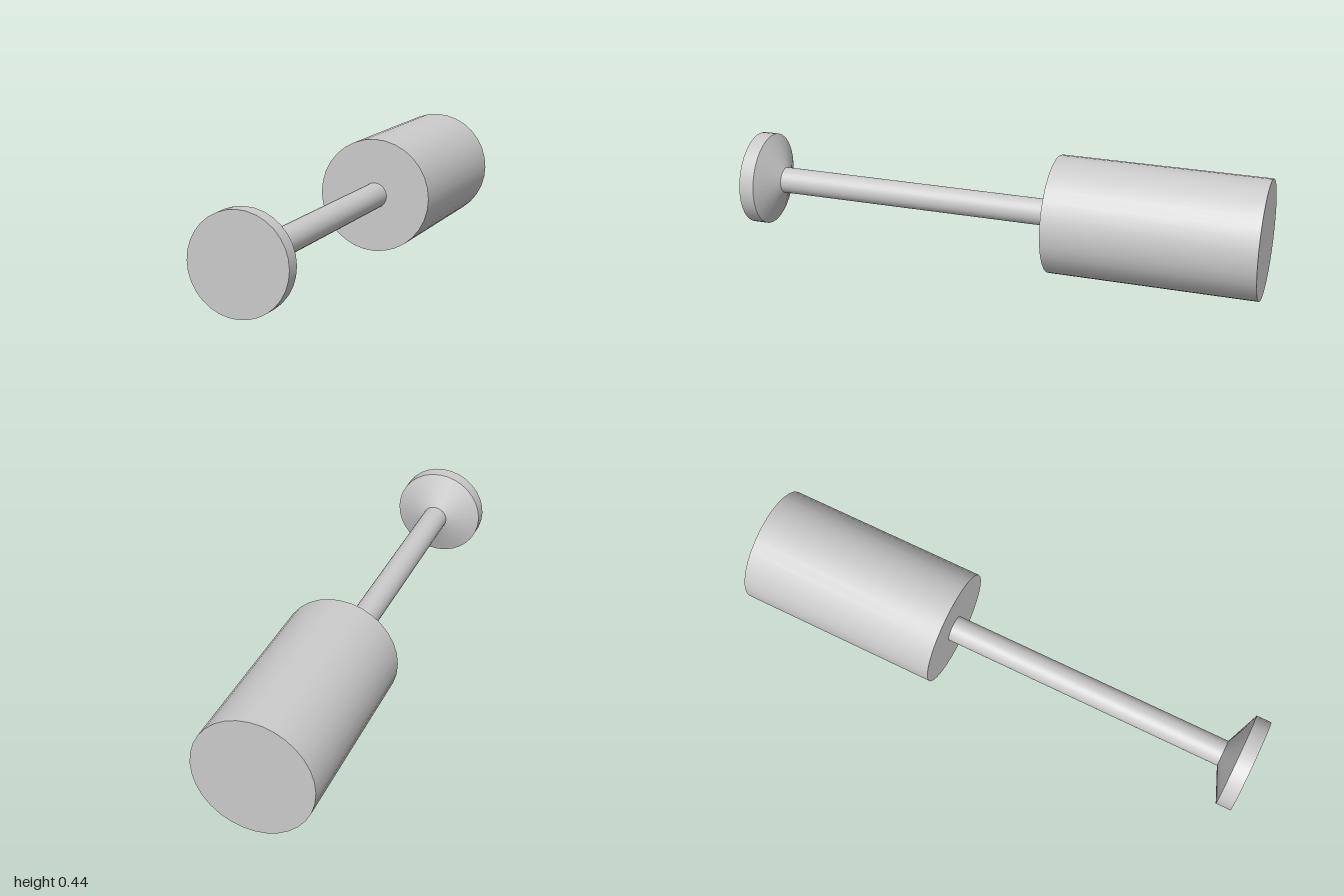
import * as THREE from 'three';

const AXIS_Y = 0.222;
const SIDES = 32;

export function createModel() {
  const model = new THREE.Group();
  const material = new THREE.MeshStandardMaterial({ color: 0xcccccc });

  // Round section along z, from zBack to zFront
  function addSection(name, zBack, zFront, rBack, rFront, open = false) {
    const geometry = new THREE.CylinderGeometry(rFront, rBack, zFront - zBack, SIDES, 1, open);
    geometry.rotateX(Math.PI / 2);
    const mesh = new THREE.Mesh(geometry, material);
    mesh.name = name;
    mesh.position.set(0, AXIS_Y, (zBack + zFront) / 2);
    model.add(mesh);
  }

  // Heavy cylinder at the back
  addSection('body', -1, -0.218, 0.222, 0.222);
  // Slim rod joining body and head
  addSection('rod', -0.218, 0.888, 0.05, 0.05, true);
  // Flared neck and flat disc at the front
  addSection('headFlare', 0.888, 0.942, 0.05, 0.178, true);
  addSection('headDisc', 0.942, 1, 0.178, 0.178);

  return model;
}
